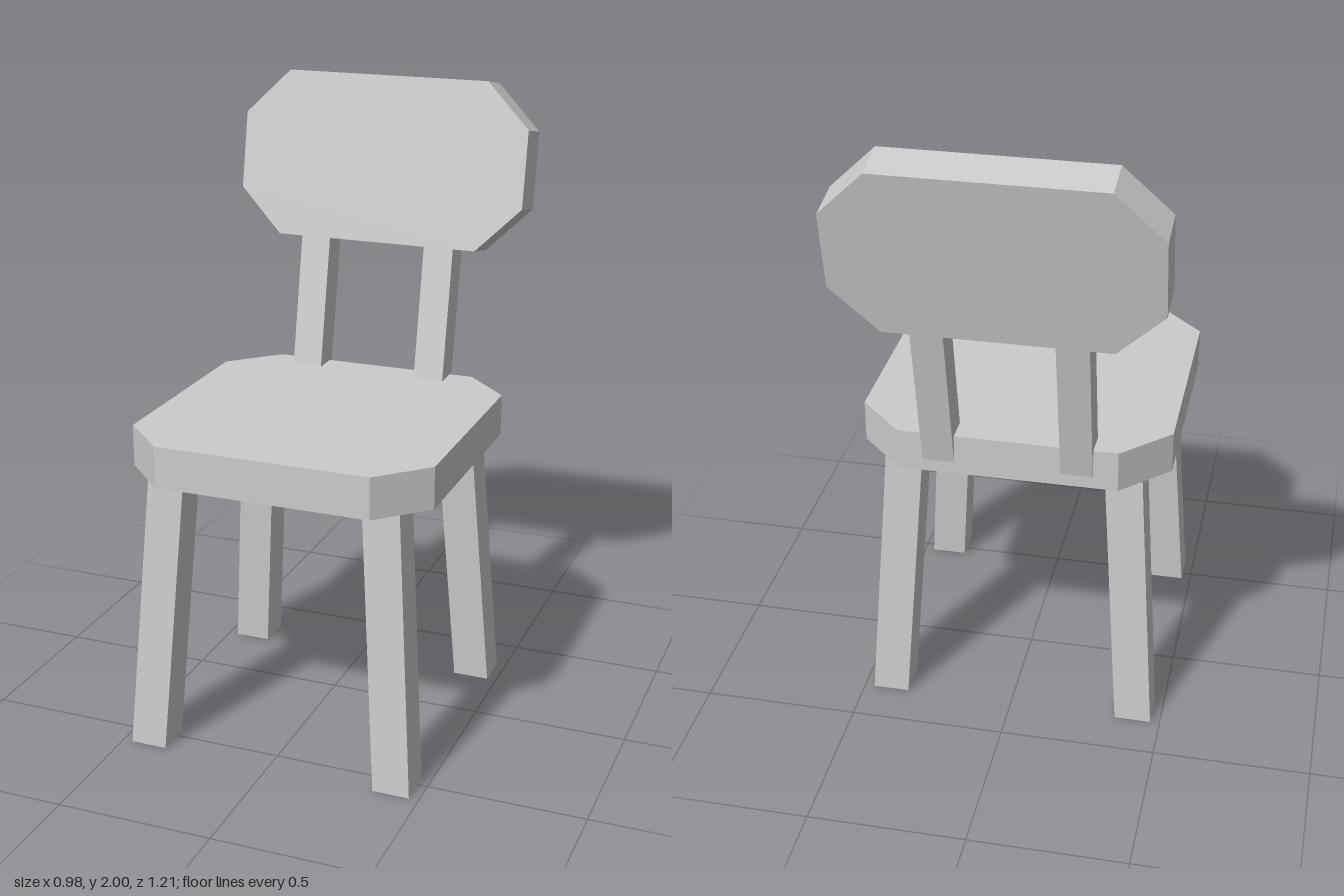
import * as THREE from 'three';

const material = new THREE.MeshStandardMaterial({ color: 0xcccccc, flatShading: true });

function addMesh(parent, name, geometry, x, y, z) {
  const mesh = new THREE.Mesh(geometry, material);
  mesh.name = name;
  mesh.position.set(x, y, z);
  parent.add(mesh);
  return mesh;
}

// Rectangular slab with cut corners, centred, thickness along z
function cutCornerSlab(width, height, depth, cut) {
  const w = width / 2, h = height / 2;
  const shape = new THREE.Shape([
    [w - cut, -h], [w, -h + cut], [w, h - cut], [w - cut, h],
    [-w + cut, h], [-w, h - cut], [-w, -h + cut], [-w + cut, -h],
  ].map(([x, y]) => new THREE.Vector2(x, y)));
  return new THREE.ExtrudeGeometry(shape, { depth, bevelEnabled: false }).translate(0, 0, -depth / 2);
}

// Square leg standing on y = 0, its foot shifted outwards in x and z
function splayedLeg(size, height, dx, dz) {
  const geometry = new THREE.BoxGeometry(size, height, size).translate(0, height / 2, 0);
  const p = geometry.attributes.position;
  for (let i = 0; i < p.count; i++) {
    if (p.getY(i) < height / 2) p.setXYZ(i, p.getX(i) + dx, p.getY(i), p.getZ(i) + dz);
  }
  geometry.computeVertexNormals();
  return geometry;
}

export function createModel() {
  const chair = new THREE.Group();
  chair.name = 'chair';

  // Seat
  const seat = cutCornerSlab(0.98, 0.98, 0.133, 0.147).rotateX(-Math.PI / 2);
  addMesh(chair, 'seat', seat, 0, 0.967, 0.115);

  // Legs
  for (const sx of [1, -1]) {
    for (const sz of [1, -1]) {
      const name = (sz > 0 ? 'front' : 'back') + (sx > 0 ? 'Left' : 'Right') + 'Leg';
      const leg = splayedLeg(0.118, 0.91, sx * 0.062, sz * 0.06);
      addMesh(chair, name, leg, sx * 0.348, 0, 0.116 + sz * 0.35);
    }
  }

  // Reclined back: panel on two posts
  const back = new THREE.Group();
  back.name = 'back';
  back.position.set(0, 1.72, -0.485);
  back.rotation.x = -0.195;
  chair.add(back);
  addMesh(back, 'backrest', cutCornerSlab(0.98, 0.546, 0.136, 0.147), 0, 0, 0);
  for (const sx of [1, -1]) {
    addMesh(back, sx > 0 ? 'leftPost' : 'rightPost',
      new THREE.BoxGeometry(0.1, 0.54, 0.1), sx * 0.216, -0.515, 0.005);
  }

  return chair;
}
